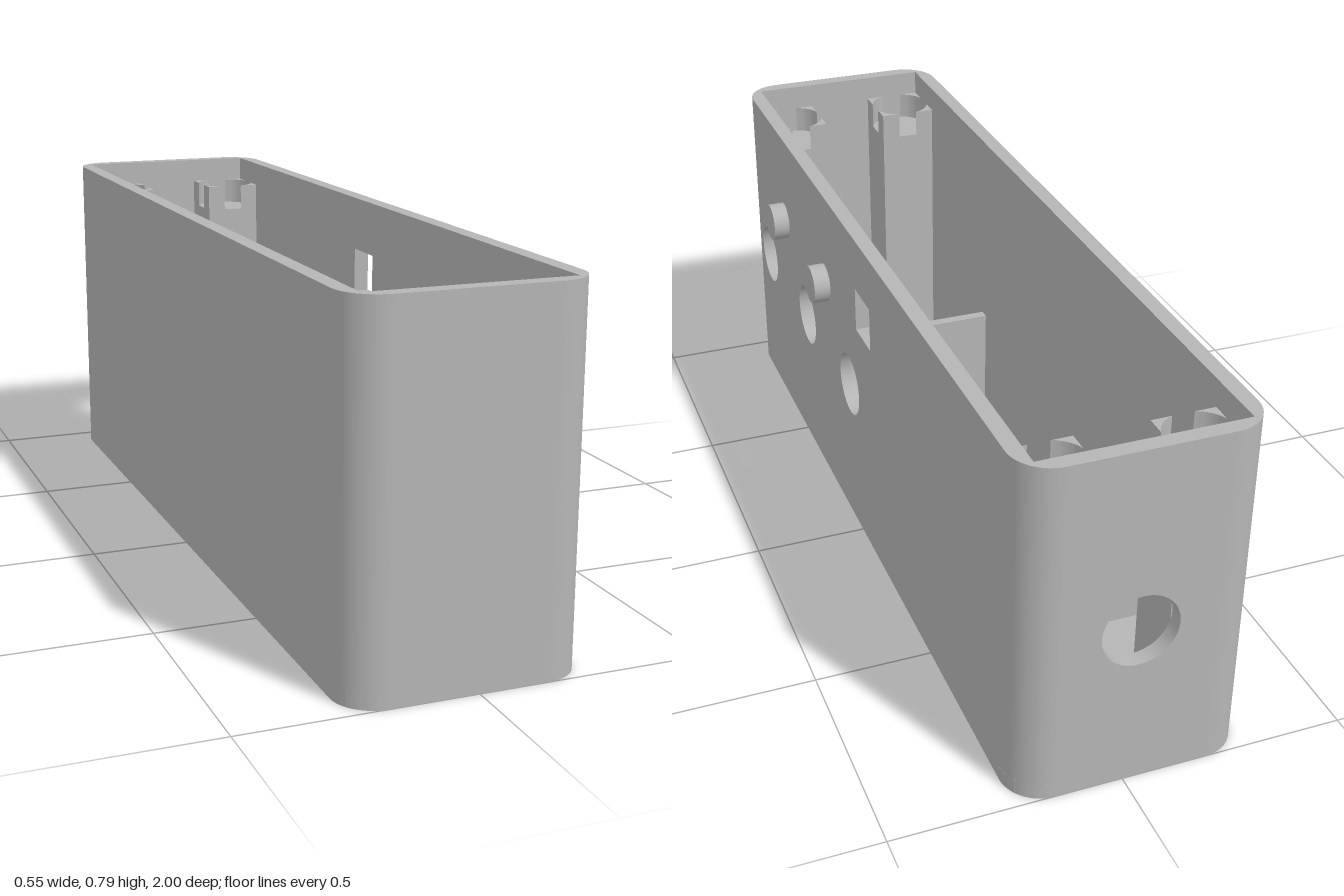
import * as THREE from 'three';
import { toCreasedNormals } from 'three/addons/utils/BufferGeometryUtils.js';

const X0 = -0.275, X1 = 0.235, CX = -0.02, H = 0.79; // outer extents
const T = 0.035, R = 0.085;                          // wall thickness, corner radius

export function createModel() {
  const model = new THREE.Group();
  model.name = 'enclosure';
  const grey = new THREE.MeshStandardMaterial({ color: 0xb5b5b5 });
  grey.name = 'grey plastic';

  const add = (name, geo, x = 0, y = 0, z = 0) => {
    const mesh = new THREE.Mesh(geo, grey);
    mesh.name = name;
    mesh.position.set(x, y, z);
    model.add(mesh);
    return mesh;
  };
  const extrude = (shape, depth) => toCreasedNormals(
    new THREE.ExtrudeGeometry(shape, { depth, bevelEnabled: false, curveSegments: 24 }), 0.6);
  // Plan shape (x, -z) raised upwards
  const raise = (shape, height) => extrude(shape, height).rotateX(-Math.PI / 2);
  // Side shape (-z, y) thickened towards +x
  const sideways = (shape, depth) => extrude(shape, depth).rotateY(Math.PI / 2);
  const poly = pts => new THREE.Shape(pts.map(p => new THREE.Vector2(...p)));
  const rect = (a, b, c, d) => poly([[a, b], [c, b], [c, d], [a, d]]);
  const circle = (x, y, r) => new THREE.Shape().absarc(x, y, r, 0, Math.PI * 2, false);

  // Floor with rounded corners
  const w = (X1 - X0) / 2, floor = new THREE.Shape();
  floor.absarc(w - R, 1 - R, R, 0, Math.PI / 2);
  floor.absarc(R - w, 1 - R, R, Math.PI / 2, Math.PI);
  floor.absarc(R - w, R - 1, R, Math.PI, Math.PI * 1.5);
  floor.absarc(w - R, R - 1, R, Math.PI * 1.5, Math.PI * 2);
  add('floor', raise(floor, T), CX);

  // Rounded outside, square inside corners of the wall
  const corner = new THREE.Shape();
  corner.moveTo(-R, -T);
  corner.lineTo(-R, 0);
  corner.lineTo(-R, 0);
  const cornerPts = [[-T, -R], [0, -R]];
  for (let i = 1; i <= 12; i++) {
    const a = (i / 12) * Math.PI / 2;
    cornerPts.push([-R + R * Math.cos(a), -R + R * Math.sin(a)]);
  }
  cornerPts.push([-R, -T], [-T, -T]);
  const cornerGeo = raise(poly(cornerPts), H - T);
  [[X1, -1, 0], [X0, -1, 1], [X0, 1, 2], [X1, 1, 3]].forEach(([x, z, q]) => {
    add('wallCorner', cornerGeo, x, T, z).rotation.y = q * Math.PI / 2;
  });

  // Right wall with three jack holes and a square window
  const jackZ = [0.82, 0.445, 0.075], jackY = 0.375;
  const panel = rect(R - 1, T, 1 - R, H);
  jackZ.forEach(z => panel.holes.push(circle(-z, jackY, 0.076)));
  panel.holes.push(rect(-0.005, 0.56, 0.103, 0.665));
  add('controlWall', sideways(panel, T), X1 - T);
  add('plainWall', sideways(rect(R - 1, T, 1 - R, H), T), X0);

  // End walls, the back one with a cable hole
  add('frontWall', extrude(rect(X0 + R, T, X1 - R, H), T), 0, 0, 1 - T);
  const back = rect(X0 + R, T, X1 - R, H);
  back.holes.push(circle(CX, 0.375, 0.083));
  add('backWall', extrude(back, T), 0, 0, -1);

  // Capped sleeves behind the jack holes
  const sleeve = circle(0, 0, 0.11);
  sleeve.holes.push(circle(0, 0, 0.076));
  const sleeveGeo = sideways(sleeve, 0.07);
  const capGeo = sideways(circle(0, 0, 0.078), 0.018);
  jackZ.forEach(z => {
    add('jackSleeve', sleeveGeo, 0.13, jackY, z);
    add('sleeveCap', capGeo, 0.13, jackY, z);
  });

  // Buttons on the outside
  const buttonGeo = new THREE.CylinderGeometry(0.046, 0.046, 0.04, 40).rotateZ(-Math.PI / 2);
  [0.632, 0.258].forEach(z => add('button', buttonGeo, 0.254, 0.56, z));

  // Corner posts: a square column with a round pocket that leaves four prongs
  const h = 0.07, pr = 0.074, postTop = 0.73, seat = 0.665;
  const k = Math.sqrt(pr * pr - h * h), a0 = Math.atan2(k, h);
  const prongPts = [[h, h], [k, h]];
  for (let i = 1; i < 8; i++) {
    const a = Math.PI / 2 - a0 + (2 * a0 - Math.PI / 2) * i / 8;
    prongPts.push([pr * Math.cos(a), pr * Math.sin(a)]);
  }
  prongPts.push([h, k]);
  const prongGeo = raise(poly(prongPts), postTop - seat);
  const postGeo = new THREE.BoxGeometry(2 * h, seat - T, 2 * h);
  for (const x of [X0 + T + h, X1 - T - h]) {
    for (const z of [-0.895, 0.895]) {
      add('post', postGeo, x, (seat + T) / 2, z);
      for (let q = 0; q < 4; q++) add('postProng', prongGeo, x, seat, z).rotation.y = q * Math.PI / 2;
    }
  }

  // Low partitions across the floor
  const ribGeo = new THREE.BoxGeometry(X1 - X0 - 2 * T, 0.27, 0.025);
  [-0.562, 0.415].forEach(z => add('partition', ribGeo, CX, T + 0.135, z));

  return model;
}
